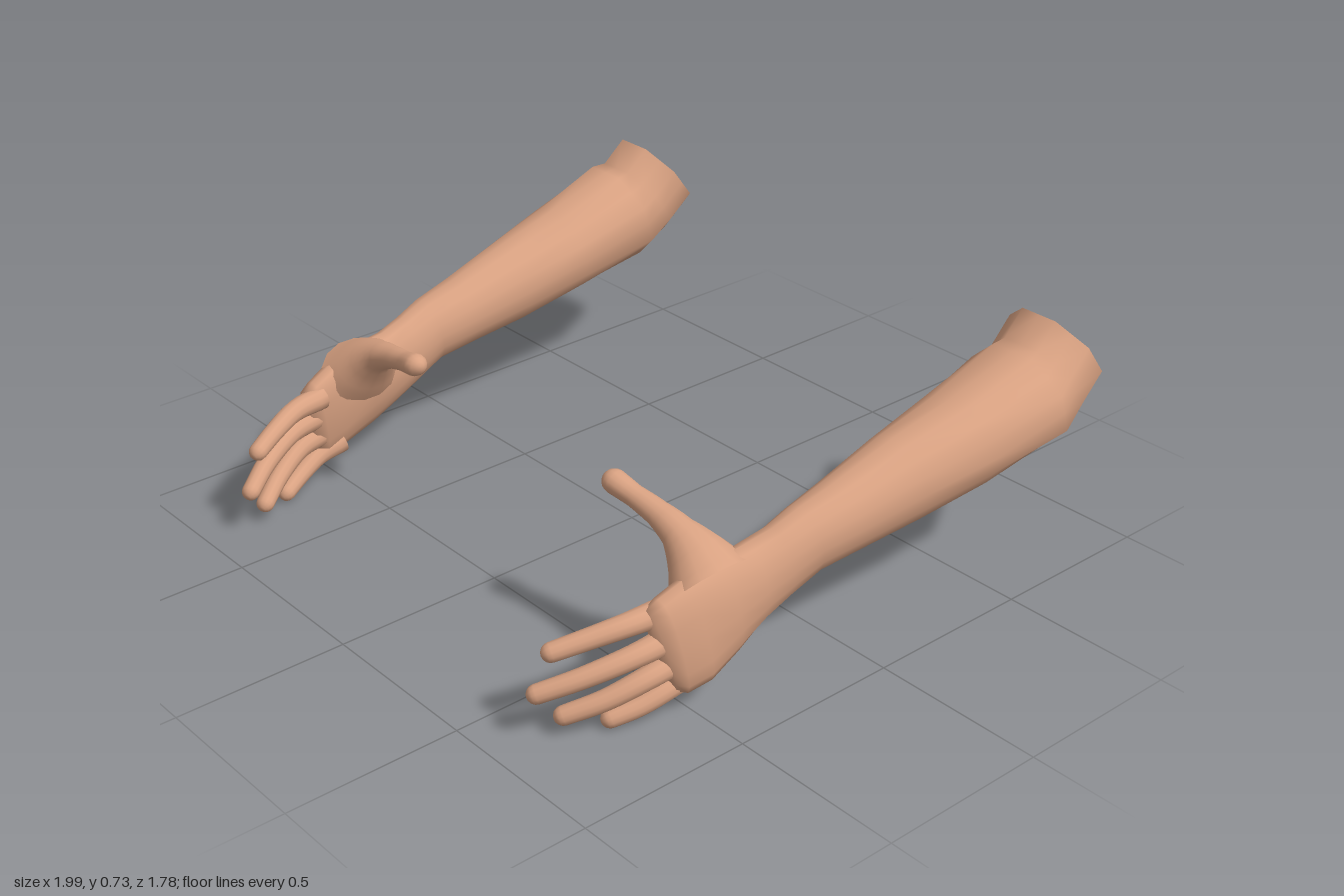
import * as THREE from 'three';

const skin = new THREE.MeshStandardMaterial({ color: 0xd9a282 });
const V3 = (x, y, z) => new THREE.Vector3(x, y, z);

// Skin a list of equal-length rings; optional centre point closes the far end.
function loft(rings, tip) {
  const n = rings[0].length, pos = [], idx = [];
  rings.forEach(r => r.forEach(p => pos.push(p.x, p.y, p.z)));
  for (let i = 0; i < rings.length - 1; i++)
    for (let j = 0; j < n; j++) {
      const a = i * n + j, b = i * n + (j + 1) % n;
      idx.push(a, b, b + n, a, b + n, a + n);
    }
  if (tip) {
    const base = (rings.length - 1) * n;
    pos.push(tip.x, tip.y, tip.z);
    for (let j = 0; j < n; j++) idx.push(base + j, base + (j + 1) % n, base + n);
  }
  const g = new THREE.BufferGeometry();
  g.setAttribute('position', new THREE.Float32BufferAttribute(pos, 3));
  g.setIndex(idx);
  return g;
}

// Ring around c spanned by half-axes h and v; power below 1 makes it boxier.
function ring(c, h, v, n, power = 1, octagon = false) {
  const out = [];
  for (let j = 0; j < n; j++) {
    const a = j / n * Math.PI * 2;
    const k = octagon ? (j % 2 ? 1.06 : 0.98) : 1;
    const f = t => Math.sign(t) * Math.pow(Math.abs(t), power) * k;
    out.push(c.clone().addScaledVector(h, f(Math.cos(a))).addScaledVector(v, f(Math.sin(a))));
  }
  return out;
}

// Round-tipped finger through rows of [x, y, z, radius across, radius up].
function finger(rows, steps = 12, n = 12) {
  const curve = new THREE.CatmullRomCurve3(rows.map(r => V3(r[0], r[1], r[2])));
  const rings = [];
  let c, d, h, v, rh, rv;
  for (let i = 0; i <= steps; i++) {
    const t = i / steps, u = t * (rows.length - 1);
    const k = Math.min(Math.floor(u), rows.length - 2);
    rh = THREE.MathUtils.lerp(rows[k][3], rows[k + 1][3], u - k);
    rv = THREE.MathUtils.lerp(rows[k][4], rows[k + 1][4], u - k);
    c = curve.getPoint(t);
    d = curve.getTangent(t);
    v = V3(0, 1, 0).addScaledVector(d, -d.y).normalize();
    h = v.clone().cross(d);
    rings.push(ring(c, h.clone().multiplyScalar(rh), v.clone().multiplyScalar(rv), n));
  }
  for (const a of [0.4, 0.8, 1.2]) {
    const s = Math.cos(a);
    rings.push(ring(c.clone().addScaledVector(d, rh * Math.sin(a)),
      h.clone().multiplyScalar(rh * s), v.clone().multiplyScalar(rv * s), n));
  }
  return loft(rings, c.clone().addScaledVector(d, rh));
}

// Sections from elbow to knuckles: zTop, yTop, zBottom, yBottom, xInner, xOuter, lean
const armRows = [
  [-0.72, 0.73, -0.89, 0.505, 0.69, 0.97, 0],
  [-0.65, 0.665, -0.81, 0.435, 0.695, 0.975, 0],
  [-0.61, 0.66, -0.70, 0.375, 0.68, 1.0, 0],
  [-0.38, 0.59, -0.44, 0.325, 0.69, 0.975, 0],
  [-0.18, 0.54, -0.22, 0.285, 0.705, 0.935, 0],
  [0.02, 0.48, -0.02, 0.265, 0.72, 0.905, 0],
  [0.14, 0.45, 0.10, 0.25, 0.73, 0.885, 0],
  [0.22, 0.42, 0.19, 0.205, 0.73, 0.87, 0],
  [0.30, 0.40, 0.27, 0.165, 0.725, 0.86, -0.005],
  [0.40, 0.39, 0.35, 0.115, 0.735, 0.855, -0.01],
  [0.50, 0.365, 0.45, 0.075, 0.74, 0.845, -0.02],
  [0.57, 0.335, 0.52, 0.06, 0.735, 0.83, -0.02],
  [0.605, 0.315, 0.55, 0.075, 0.75, 0.81, -0.02],
];

const fingers = {
  indexFinger: [[0.75, 0.285, 0.55], [0.735, 0.28, 0.65], [0.70, 0.262, 0.74], [0.66, 0.24, 0.825]],
  middleFinger: [[0.775, 0.215, 0.54], [0.76, 0.2, 0.65], [0.71, 0.165, 0.77], [0.65, 0.13, 0.865]],
  ringFinger: [[0.785, 0.15, 0.52], [0.775, 0.13, 0.62], [0.735, 0.09, 0.72], [0.68, 0.055, 0.805]],
  littleFinger: [[0.785, 0.10, 0.47], [0.785, 0.08, 0.55], [0.765, 0.05, 0.63], [0.735, 0.028, 0.70]],
};
const fingerRadii = [0.036, 0.031, 0.028, 0.026];

// Wide root blends the thumb into the palm
const thumbRows = [
  [0.77, 0.32, 0.40, 0.125, 0.095],
  [0.71, 0.37, 0.40, 0.085, 0.07],
  [0.65, 0.41, 0.405, 0.05, 0.045],
  [0.58, 0.435, 0.41, 0.037, 0.034],
  [0.50, 0.455, 0.42, 0.031, 0.029],
  [0.435, 0.472, 0.43, 0.035, 0.033],
];

function armParts() {
  const rings = armRows.map(([zt, yt, zb, yb, xi, xo, lean], i) => ring(
    V3((xi + xo) / 2, (yt + yb) / 2, (zt + zb) / 2),
    V3((xo - xi) / 2, 0, 0),
    V3(lean, (yt - yb) / 2, (zt - zb) / 2),
    16, i > 9 ? 0.8 : 1, i < 3));
  const parts = {
    forearmAndPalm: loft(rings, V3(0.775, 0.2, 0.59)),
    // flat cut at the elbow, facing back
    elbowCut: loft([rings[0].slice().reverse()], V3(0.83, 0.6175, -0.805)),
    thumb: finger(thumbRows, 15, 14),
  };
  for (const [name, pts] of Object.entries(fingers))
    parts[name] = finger(pts.map((p, i) => [...p, fingerRadii[i], fingerRadii[i]]));
  return parts;
}

// Reflect in x and turn the triangles back outward
function mirror(g) {
  g.scale(-1, 1, 1);
  const a = g.index.array;
  for (let i = 0; i < a.length; i += 3) [a[i], a[i + 1]] = [a[i + 1], a[i]];
}

export function createModel() {
  const model = new THREE.Group();
  model.name = 'pairOfArms';
  for (const side of ['left', 'right']) {
    const arm = new THREE.Group();
    arm.name = side + 'Arm';
    for (const [name, g] of Object.entries(armParts())) {
      if (side === 'right') mirror(g);
      g.computeVertexNormals();
      const mesh = new THREE.Mesh(g, skin);
      mesh.name = name;
      arm.add(mesh);
    }
    model.add(arm);
  }
  return model;
}
